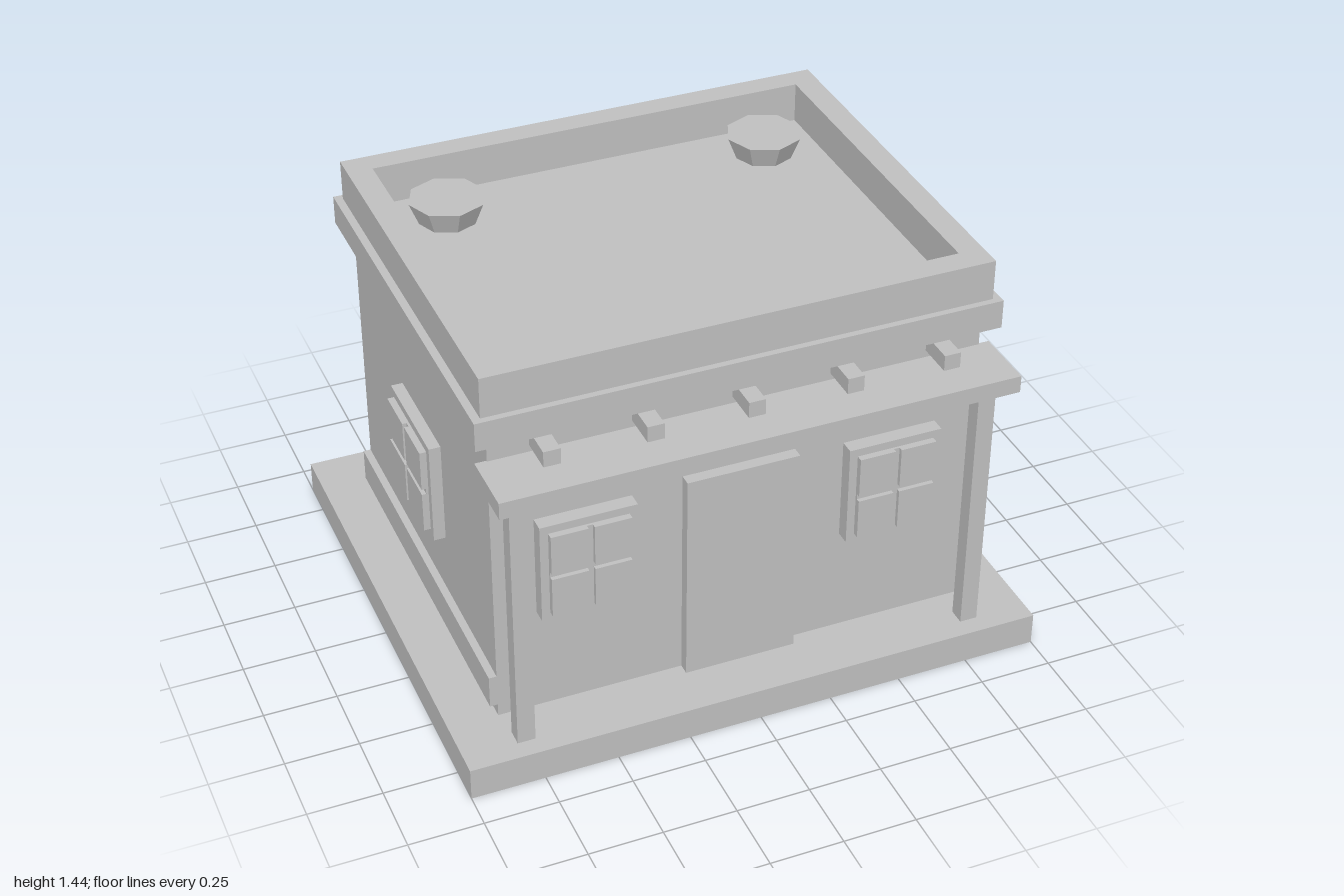
import * as THREE from 'three';

export function createModel() {
  const model = new THREE.Group();
  model.name = 'flatRoofHouse';
  const plaster = new THREE.MeshStandardMaterial({ color: 0xc0c0c0 });
  plaster.name = 'plaster grey';

  // Box given by its extents on each axis
  function box(name, x0, x1, y0, y1, z0, z1, parent = model) {
    const mesh = new THREE.Mesh(new THREE.BoxGeometry(x1 - x0, y1 - y0, z1 - z0), plaster);
    mesh.position.set((x0 + x1) / 2, (y0 + y1) / 2, (z0 + z1) / 2);
    mesh.name = name;
    parent.add(mesh);
    return mesh;
  }

  // Main masses
  box('baseSlab', -1, 1, 0, 0.115, -0.88, 0.88);
  box('walls', -0.83, 0.83, 0.115, 1.2, -0.665, 0.665);
  box('cornice', -0.88, 0.88, 1.2, 1.3, -0.712, 0.712);

  // Hollow parapet around the roof
  const rect = (Type, w, d) => new Type([
    new THREE.Vector2(-w, -d), new THREE.Vector2(w, -d),
    new THREE.Vector2(w, d), new THREE.Vector2(-w, d),
  ]);
  const rim = rect(THREE.Shape, 0.853, 0.69);
  rim.holes.push(rect(THREE.Path, 0.767, 0.605));
  const parapet = new THREE.Mesh(
    new THREE.ExtrudeGeometry(rim, { depth: 0.14, bevelEnabled: false }), plaster);
  parapet.rotation.x = -Math.PI / 2;
  parapet.position.y = 1.3;
  parapet.name = 'parapet';
  model.add(parapet);

  // Tapered octagonal roof vents
  for (const s of [-1, 1]) {
    const geometry = new THREE.CylinderGeometry(0.132, 0.1, 0.08, 8).toNonIndexed();
    geometry.computeVertexNormals();
    const vent = new THREE.Mesh(geometry, plaster);
    vent.position.set(s * 0.57, 1.34, -0.435);
    vent.name = 'roofVent';
    model.add(vent);
  }

  // Front porch: roof, posts, door and beam ends
  box('porchRoof', -0.868, 0.868, 1.06, 1.12, 0.66, 0.877);
  box('frontDoor', -0.193, 0.193, 0.115, 0.885, 0.66, 0.705);
  for (let i = -2; i <= 2; i++) {
    const x = i * 0.3335;
    box('beamEnd', x - 0.028, x + 0.028, 1.145, 1.2, 0.66, 0.79);
  }

  // Back door and its canopy
  box('backCanopy', -0.26, 0.26, 0.973, 1.03, -0.877, -0.66);
  box('backDoor', -0.19, 0.19, 0.115, 0.885, -0.695, -0.66);

  // Mirrored posts and side skirting
  for (const s of [-1, 1]) {
    box('porchPost', s * 0.788 - 0.03, s * 0.788 + 0.03, 0.115, 1.06, 0.758, 0.815);
    box('backPost', s * 0.207 - 0.018, s * 0.207 + 0.018, 0.115, 0.953, -0.735, -0.695);
    box('sideSkirting', s * 0.841 - 0.015, s * 0.841 + 0.015, 0.16, 0.277, -0.665, 0.665);
  }

  // Window facing +z: frame, glazing cross and four raised panes
  function addWindow(width, frameDepth, x, z, turn) {
    const win = new THREE.Group();
    win.name = 'window';
    const w = width / 2, h = 0.182, pw = w - 0.028, ph = h - 0.028, gap = 0.01;
    box('windowFrame', -w, w, -h, h, -0.005, frameDepth, win);
    box('glazingCross', -gap, gap, -ph, ph, frameDepth - 0.01, frameDepth + 0.008, win);
    box('glazingCross', -pw, pw, -gap, gap, frameDepth - 0.01, frameDepth + 0.008, win);
    for (const sx of [-1, 1]) for (const sy of [-1, 1]) {
      const cx = sx * (pw + gap) / 2, cy = sy * (ph + gap) / 2;
      const hw = (pw - gap) / 2, hh = (ph - gap) / 2;
      box('windowPane', cx - hw, cx + hw, cy - hh, cy + hh,
        frameDepth - 0.01, frameDepth + 0.023, win);
    }
    win.position.set(x, 0.679, z);
    win.rotation.y = turn;
    model.add(win);
  }
  for (const s of [-1, 1]) {
    addWindow(0.325, 0.05, s * 0.526, 0.665, 0);
    addWindow(0.325, 0.05, s * 0.526, -0.665, Math.PI);
    addWindow(0.39, 0.04, s * 0.83, 0, s * Math.PI / 2);
  }

  return model;
}
